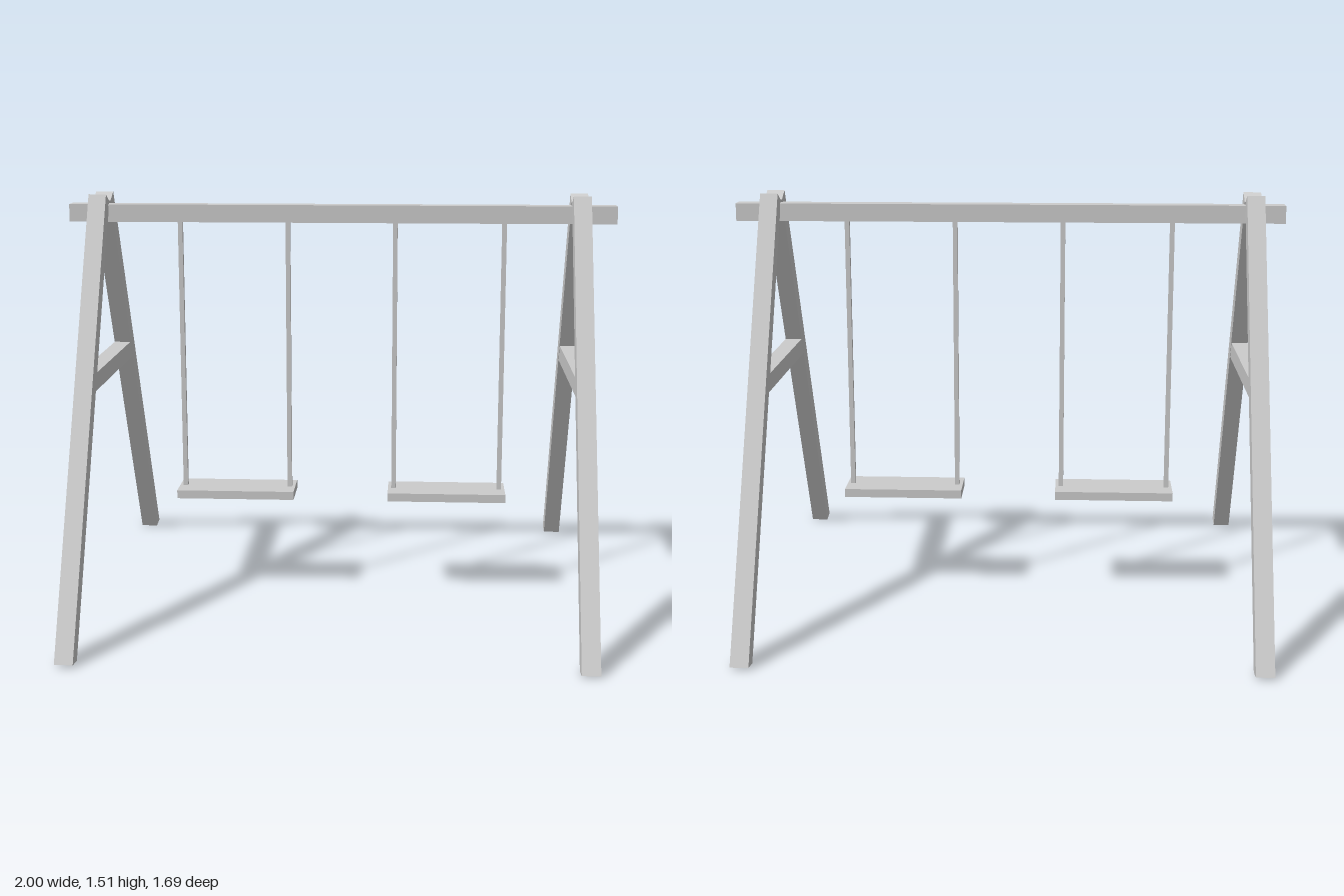
import * as THREE from 'three';

const material = new THREE.MeshStandardMaterial({ color: 0xcccccc, flatShading: true });
const BEAM = 0.064; // timber thickness

function addMesh(parent, name, geometry, x = 0, y = 0, z = 0) {
  const mesh = new THREE.Mesh(geometry, material);
  mesh.name = name;
  mesh.position.set(x, y, z);
  parent.add(mesh);
  return mesh;
}

// Timber cut to a side outline of [z, y] points, centred on x
function timber(outline, width) {
  const shape = new THREE.Shape(outline.map(([z, y]) => new THREE.Vector2(z, y)));
  const geometry = new THREE.ExtrudeGeometry(shape, { depth: width, bevelEnabled: false });
  return geometry.translate(0, 0, -width / 2).rotateY(-Math.PI / 2);
}

// A-frame: two leaning legs and a mitred cross brace
function createFrame(x) {
  const frame = new THREE.Group();
  frame.name = 'endFrame';
  frame.position.x = x;
  const leg = [[0.844, 0.009], [0.066, 1.515], [0.01, 1.486], [0.783, 0]];
  for (const [name, side] of [['frontLeg', 1], ['backLeg', -1]]) {
    addMesh(frame, name, timber(leg.map(([z, y]) => [z * side, y]), BEAM));
  }
  const brace = [[-0.345, 0.84], [0.345, 0.84], [0.312, 0.903], [-0.312, 0.903]];
  addMesh(frame, 'crossBrace', timber(brace, BEAM - 0.002));
  return frame;
}

// Swing: flat seat hung from two thin square ropes
function createSwing(x) {
  const swing = new THREE.Group();
  swing.name = 'swing';
  swing.position.x = x;
  addMesh(swing, 'seat', new THREE.BoxGeometry(0.44, 0.031, 0.172), 0, 0.392, 0);
  for (const side of [-1, 1]) {
    addMesh(swing, 'rope', new THREE.BoxGeometry(0.017, 1.008, 0.017), side * 0.199, 0.91, 0);
  }
  return swing;
}

export function createModel() {
  const model = new THREE.Group();
  model.name = 'swingSet';
  addMesh(model, 'topBeam', new THREE.BoxGeometry(2, BEAM, BEAM), 0, 1.444, 0);
  model.add(createFrame(-0.887), createFrame(0.869));
  model.add(createSwing(-0.396), createSwing(0.397));
  return model;
}
